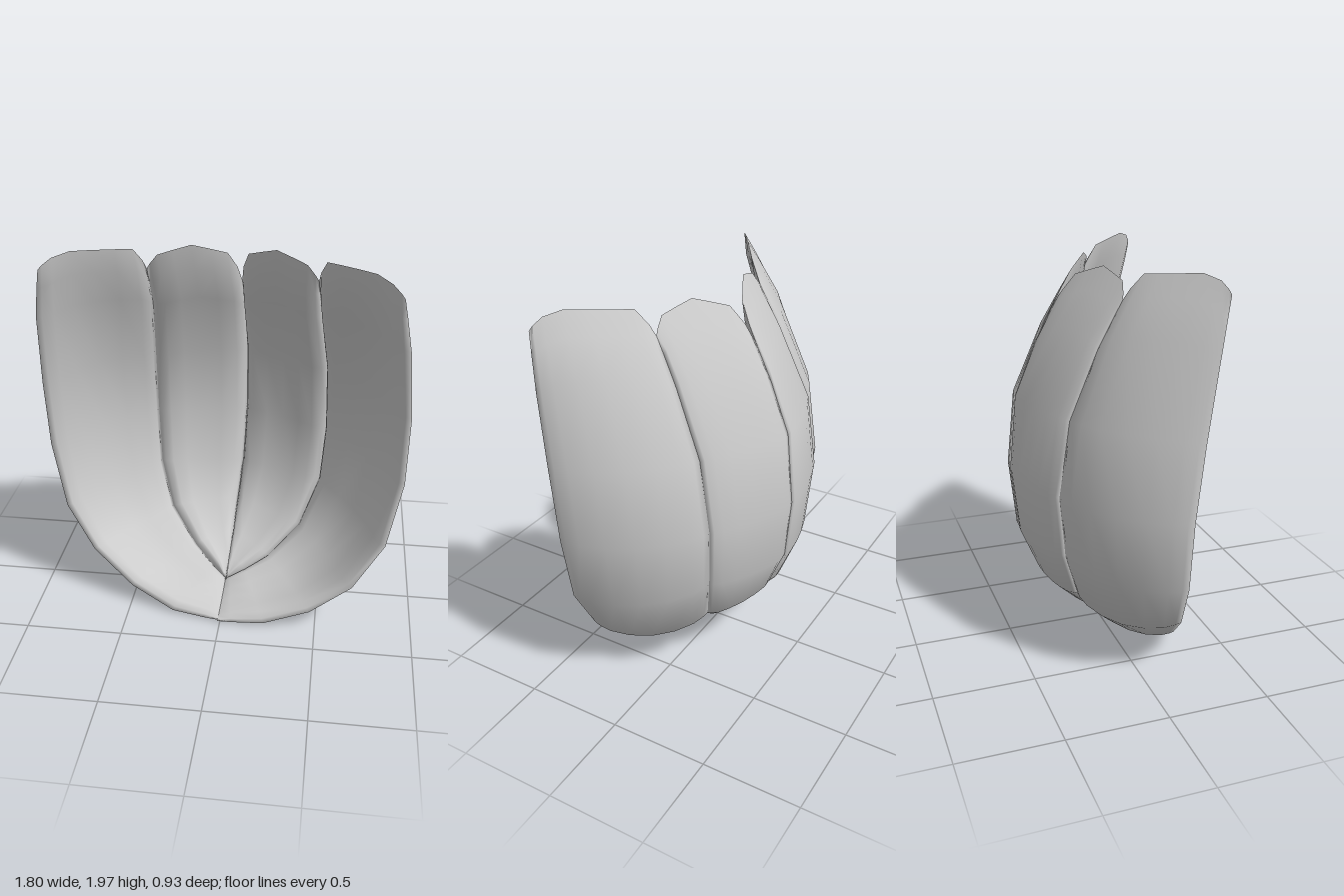
import * as THREE from 'three';

// Positions across a petal (0 = first edge, 1 = second edge) and along it
const ACROSS = [0, 0.04, 0.13, 0.3, 0.5, 0.7, 0.87, 0.96, 1];
const ALONG = [0, 0.3, 1, 2, 3, 4, 5, 6, 7, 7.6, 8].map(r => r / 8);
const INWARD = 0.055, OUTWARD = 0.015;

const toCurve = pts => new THREE.CatmullRomCurve3(pts.map(p => new THREE.Vector3(...p)));

// A curved, thin-edged shell stretched between two edge curves; rim gives the tip's height across
function petal(name, edgeA, edgeB, { bulge, rim }) {
  const a = toCurve(edgeA), b = toCurve(edgeB);
  const frame = t => {
    const A = a.getPoint(t), B = b.getPoint(t);
    const along = a.getTangent(t).add(b.getTangent(t)).normalize();
    const n = new THREE.Vector3().crossVectors(along, B.clone().sub(A)).normalize();
    return { A, B, along, n };
  };

  // Which way is the outside of the flower
  const mid = frame(0.6);
  const out = mid.A.clone().lerp(mid.B, 0.5).sub(new THREE.Vector3(0, 1, 0.4));
  const sign = Math.sign(out.dot(mid.n));

  // Each row is a closed loop: outer skin one way, inner skin back
  const ids = ACROSS.map((s, i) => i);
  const loop = [
    ...ids.map(i => [i, OUTWARD]),
    ...ids.slice(1, -1).reverse().map(i => [i, -INWARD]),
  ];
  const pos = [], index = [], m = loop.length;
  ALONG.forEach((t, i) => {
    const { A, B, along, n } = frame(t);
    const rowTaper = Math.sqrt(Math.min(1, t * 8, (1 - t) * 8));
    const rowArch = bulge * Math.min(1, 0.1 + t * 2.5, 0.12 + (1 - t) * 4);
    const tip = Math.max(0, (t - 0.75) / 0.25);
    for (const [c, skin] of loop) {
      const s = ACROSS[c];
      const edgeTaper = Math.min(1, Math.min(s, 1 - s) / 0.13) ** 0.6;
      const offset = rowArch * 4 * s * (1 - s) + skin * edgeTaper * rowTaper;
      const p = A.clone().lerp(B, s)
        .addScaledVector(n, sign * offset)
        .addScaledVector(along, tip * rim[c]);
      pos.push(p.x, p.y, p.z);
    }
    if (i === 0) return;
    for (let j = 0; j < m; j++) {
      const k = (j + 1) % m, r0 = (i - 1) * m, r1 = i * m;
      const [p, q, r, u] = [r0 + j, r0 + k, r1 + k, r1 + j];
      if (sign > 0) index.push(p, r, q, p, u, r);
      else index.push(p, q, r, p, r, u);
    }
  });

  const geo = new THREE.BufferGeometry();
  geo.setAttribute('position', new THREE.Float32BufferAttribute(pos, 3));
  geo.setIndex(index);
  geo.computeVertexNormals();
  const mesh = new THREE.Mesh(geo, new THREE.MeshStandardMaterial({ color: 0xcccccc, side: THREE.DoubleSide }));
  mesh.name = name;
  return mesh;
}

export function createModel() {
  const group = new THREE.Group();
  group.name = 'petals';

  // Seam at the back, shared by the two inner petals
  const seam = [[0, 0.09, 0.07], [0.005, 0.15, -0.07], [0.01, 0.25, -0.2], [0.02, 0.4, -0.33],
    [0.04, 0.6, -0.42], [0.055, 0.93, -0.455], [0.055, 1.3, -0.42], [0.05, 1.55, -0.32], [0.045, 1.73, -0.23]];

  // Seams between inner and outer petals
  const leftSeam = [[-0.012, 0.09, 0.05], [0.1, 0.135, 0.01], [0.22, 0.2, -0.05], [0.38, 0.35, -0.16],
    [0.48, 0.62, -0.23], [0.5, 0.93, -0.245], [0.49, 1.3, -0.19], [0.455, 1.62, -0.05], [0.435, 1.84, 0.06]];
  const rightSeam = [[0, 0.09, 0.05], [-0.08, 0.14, 0], [-0.19, 0.21, -0.09], [-0.34, 0.37, -0.23],
    [-0.41, 0.62, -0.31], [-0.425, 0.93, -0.34], [-0.42, 1.3, -0.285], [-0.395, 1.62, -0.14], [-0.395, 1.84, -0.02]];

  // Free front edges of the outer petals
  const leftFront = [[-0.015, 0.03, 0.345], [0.23, 0.04, 0.345], [0.47, 0.13, 0.335], [0.68, 0.3, 0.33],
    [0.83, 0.57, 0.33], [0.895, 0.93, 0.325], [0.895, 1.3, 0.355], [0.86, 1.65, 0.41], [0.81, 1.91, 0.46]];
  const rightFront = [[-0.005, 0.03, 0.335], [-0.26, 0.04, 0.295], [-0.49, 0.14, 0.235], [-0.7, 0.32, 0.18],
    [-0.84, 0.57, 0.15], [-0.9, 0.93, 0.14], [-0.9, 1.3, 0.18], [-0.88, 1.67, 0.24], [-0.83, 1.92, 0.3]];

  const inner = { bulge: 0.025, rim: [0, 0.09, 0.175, 0.185, 0.195, 0.145, 0.1, 0.035, 0] };
  const outer = { bulge: 0.08, rim: [0, 0.025, 0.065, 0.1, 0.105, 0.11, 0.115, 0.05, 0] };
  group.add(
    petal('leftInnerPetal', seam, leftSeam, inner),
    petal('rightInnerPetal', seam, rightSeam, inner),
    petal('leftOuterPetal', leftFront, leftSeam, outer),
    petal('rightOuterPetal', rightFront, rightSeam, outer),
  );
  return group;
}
